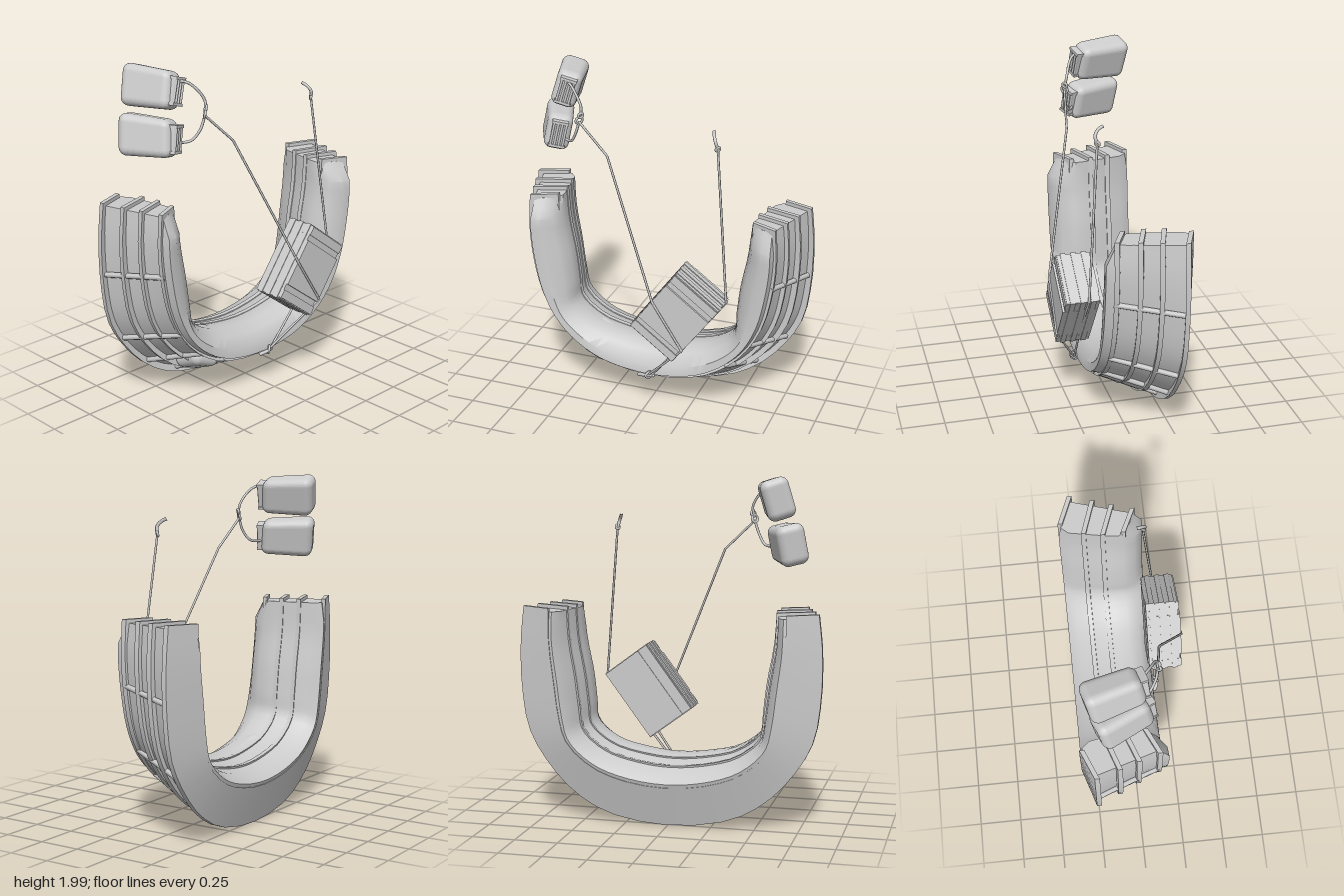
import * as THREE from 'three';
import { toCreasedNormals } from 'three/addons/utils/BufferGeometryUtils.js';
import { RoundedBoxGeometry } from 'three/addons/geometries/RoundedBoxGeometry.js';

const grey = new THREE.MeshStandardMaterial({ color: 0xcccccc });
const V = (x, y, z = 0) => new THREE.Vector3(x, y, z);

function add(parent, geometry, name, pos = [0, 0, 0], rot = [0, 0, 0]) {
  const m = new THREE.Mesh(geometry, grey);
  m.name = name;
  m.position.set(...pos);
  m.rotation.set(...rot);
  parent.add(m);
}

// U-shaped guide curve from its +x half, bottom centre first
function uCurve(half) {
  const pts = half.map(([x, y]) => V(x, y));
  const left = pts.slice(1).reverse().map(p => V(-p.x, p.y));
  return new THREE.CatmullRomCurve3([...left, ...pts]);
}
const backRim = uCurve([[0, .025], [.35, .075], [.56, .19], [.72, .36], [.82, .54], [.86, .78], [.865, 1.05], [.845, 1.255]]);
const frontRim = uCurve([[0, .21], [.28, .25], [.45, .34], [.58, .47], [.67, .64], [.72, .85], [.74, 1.05], [.73, 1.25]]);
const innerRim = uCurve([[0, .38], [.2, .4], [.37, .445], [.5, .55], [.51, .66], [.53, .84], [.57, 1.05], [.585, 1.25]]);

// Point on the band: u along the U (-1..1), s back to front, k outside to inside
function bandPoint(u, s, k, z) {
  const t = (u + 1) / 2;
  const p = backRim.getPoint(t).lerp(frontRim.getPoint(t), s).lerp(innerRim.getPoint(t), k);
  p.z = z;
  return p;
}

// Closed solid through cross-section loops
function loft(section, n, u0, u1, crease) {
  const pos = [], idx = [];
  let m = 0;
  for (let i = 0; i <= n; i++) {
    const loop = section(u0 + (u1 - u0) * i / n);
    m = loop.length;
    loop.forEach(p => pos.push(p.x, p.y, p.z));
  }
  for (let i = 0; i < n; i++) for (let j = 0; j < m; j++) {
    const a = i * m + j, b = i * m + (j + 1) % m;
    idx.push(a, b, a + m, b, b + m, a + m);
  }
  for (let j = 1; j < m - 1; j++) {
    idx.push(0, j + 1, j);
    idx.push(n * m, n * m + j, n * m + j + 1);
  }
  const g = new THREE.BufferGeometry();
  g.setAttribute('position', new THREE.Float32BufferAttribute(pos, 3));
  g.setIndex(idx);
  return toCreasedNormals(g, crease);
}

// Cord along points, straight or curved
function cord(parent, name, points, r, curved = false) {
  const pts = points.map(p => V(...p));
  if (curved) {
    add(parent, new THREE.TubeGeometry(new THREE.CatmullRomCurve3(pts), 20, r, 6), name);
    return;
  }
  for (let i = 1; i < pts.length; i++)
    add(parent, new THREE.TubeGeometry(new THREE.LineCurve3(pts[i - 1], pts[i]), 1, r, 6), name);
  pts.forEach(p => add(parent, new THREE.SphereGeometry(r * 1.05, 6, 4), name + 'Bend', p.toArray()));
}

function makeBand() {
  const band = new THREE.Group();
  band.name = 'band';
  // Padded body: flat back, sloping inside wall, rounded front lip
  add(band, loft(u => {
    const cut = Math.max(0, (Math.abs(u) - .9) / .1);
    return [
      bandPoint(u, 0, .05, -.265), bandPoint(u, 0, .68, -.335 + .02 * cut), bandPoint(u, .2, .8, -.275),
      bandPoint(u, 1, .97, -.04), bandPoint(u, 1, 1, .04 - .03 * cut),
      bandPoint(u, 1, .8, .11 - .06 * cut), bandPoint(u, 1, .4, .16 - .08 * cut),
      bandPoint(u, 1, .06, .165 - .07 * cut), bandPoint(u, .95, .07, .13 - .05 * cut), bandPoint(u, .5, .08, -.06),
    ];
  }, 48, -.985, .985, .6), 'pad');
  // Deep rails running round the U, just breaking the inside wall
  [[0, -.25, .62], [.33, -.12, .885], [.63, -.01, .965], [.93, .11, .93]].forEach(([s, z, k]) => {
    const t = .014;
    add(band, loft(u => [
      bandPoint(u, s, -.04, z - t), bandPoint(u, s, k, z - t - .07),
      bandPoint(u, s, k, z + t - .07), bandPoint(u, s, -.04, z + t),
    ], 32, -1, 1, .5), 'rail');
  });
  // Slats across the rails
  for (const u of [-.74, -.46, -.29, -.14, 0, .14, .29, .46, .74]) {
    const path = new THREE.LineCurve3(bandPoint(u, 0, .03, -.26), bandPoint(u, .95, .04, .12));
    add(band, new THREE.TubeGeometry(path, 1, .017, 6), 'slat');
  }
  // Flat plate and soft pouch set between slats
  add(band, loft(u => [
    bandPoint(u, .3, -.03, -.14), bandPoint(u, .3, .3, -.14),
    bandPoint(u, .92, .3, .11), bandPoint(u, .92, -.03, .11),
  ], 4, .15, .28, .5), 'plate');
  add(band, new RoundedBoxGeometry(.19, .24, .22, 4, .05), 'pouch', [-.345, .29, -.05], [-.42, 0, -.38]);
  return band;
}

function makeBox() {
  const box = new THREE.Group();
  box.name = 'box';
  box.position.set(.225, .71, .23);
  box.rotation.z = -.64;
  add(box, new THREE.BoxGeometry(.314, .462, .19), 'boxBody');
  // Raised front bands, back panel and side ridges
  add(box, new THREE.BoxGeometry(.318, .28, .19), 'boxMiddle', [0, 0, .012]);
  for (const y of [-.2, .2]) add(box, new THREE.BoxGeometry(.316, .05, .18), 'boxEndBand', [0, y, .012]);
  add(box, new THREE.BoxGeometry(.19, .46, .02), 'boxBackPanel', [0, 0, -.09]);
  for (const z of [-.06, 0, .06]) add(box, new THREE.BoxGeometry(.324, .472, .03), 'boxRidge', [0, 0, z]);
  return box;
}

function makeBag(pos, rot) {
  const bag = new THREE.Group();
  bag.name = 'bag';
  bag.position.set(...pos);
  bag.rotation.set(...rot);
  // Body drawn in at the front end, slightly skewed at the back
  const g = new RoundedBoxGeometry(.16, .23, .31, 5, .045);
  const p = g.attributes.position;
  for (let i = 0; i < p.count; i++) {
    const k = 1 - .12 * Math.max(0, (p.getZ(i) + .05) / .2);
    p.setXYZ(i, p.getX(i) * k, p.getY(i) * k, p.getZ(i) - .07 * p.getY(i));
  }
  g.computeVertexNormals();
  add(bag, g, 'bagBody');
  // Ribbed closure
  add(bag, new THREE.BoxGeometry(.085, .13, .04), 'closure', [0, 0, .155]);
  for (let i = 0; i < 4; i++)
    add(bag, new THREE.CylinderGeometry(.008, .008, .14, 6), 'closureRib', [-.036 + i * .024, 0, .177]);
  for (const y of [-.07, .07])
    add(bag, new THREE.BoxGeometry(.095, .016, .05), 'closureEnd', [0, y, .16]);
  return bag;
}

export function createModel() {
  const model = new THREE.Group();
  model.name = 'harness';
  model.add(makeBand(), makeBox());
  model.add(makeBag([-.585, 1.88, -.13], [0, .28, -.3]));
  model.add(makeBag([-.645, 1.628, -.09], [0, .42, -.22]));

  // Long cords from the box
  cord(model, 'bagCord', [[-.42, 1.74, .12], [-.24, 1.57, .15], [.1, .8, .34], [.28, .52, .34], [.01, .22, .18]], .007);
  cord(model, 'hookCord', [[.405, 1.69, .13], [.495, .8, .2], [.27, .52, .2], [.03, .22, .18]], .007);

  // Knots, loops and hook
  const knot = (x, y, z, r) => add(model, new THREE.TorusGeometry(r, .008, 6, 12), 'knot', [x, y, z], [.3, .8, 0]);
  knot(-.42, 1.75, .12, .02);
  knot(-.41, 1.78, .12, .014);
  knot(.405, 1.69, .13, .012);
  knot(.02, .225, .18, .022);
  cord(model, 'anchor', [[-.05, .21, .17], [0, .225, .19], [.05, .22, .17]], .012, true);
  cord(model, 'hook', [[.405, 1.69, .13], [.395, 1.73, .14], [.38, 1.76, .12], [.37, 1.775, .09]], .01, true);
  cord(model, 'upperLoop', [[-.42, 1.76, .12], [-.41, 1.82, .11], [-.46, 1.9, .08], [-.5, 1.93, .05], [-.55, 1.93, 0]], .008, true);
  cord(model, 'lowerLoop', [[-.42, 1.74, .12], [-.45, 1.66, .11], [-.49, 1.605, .08], [-.56, 1.6, .04]], .008, true);
  return model;
}
